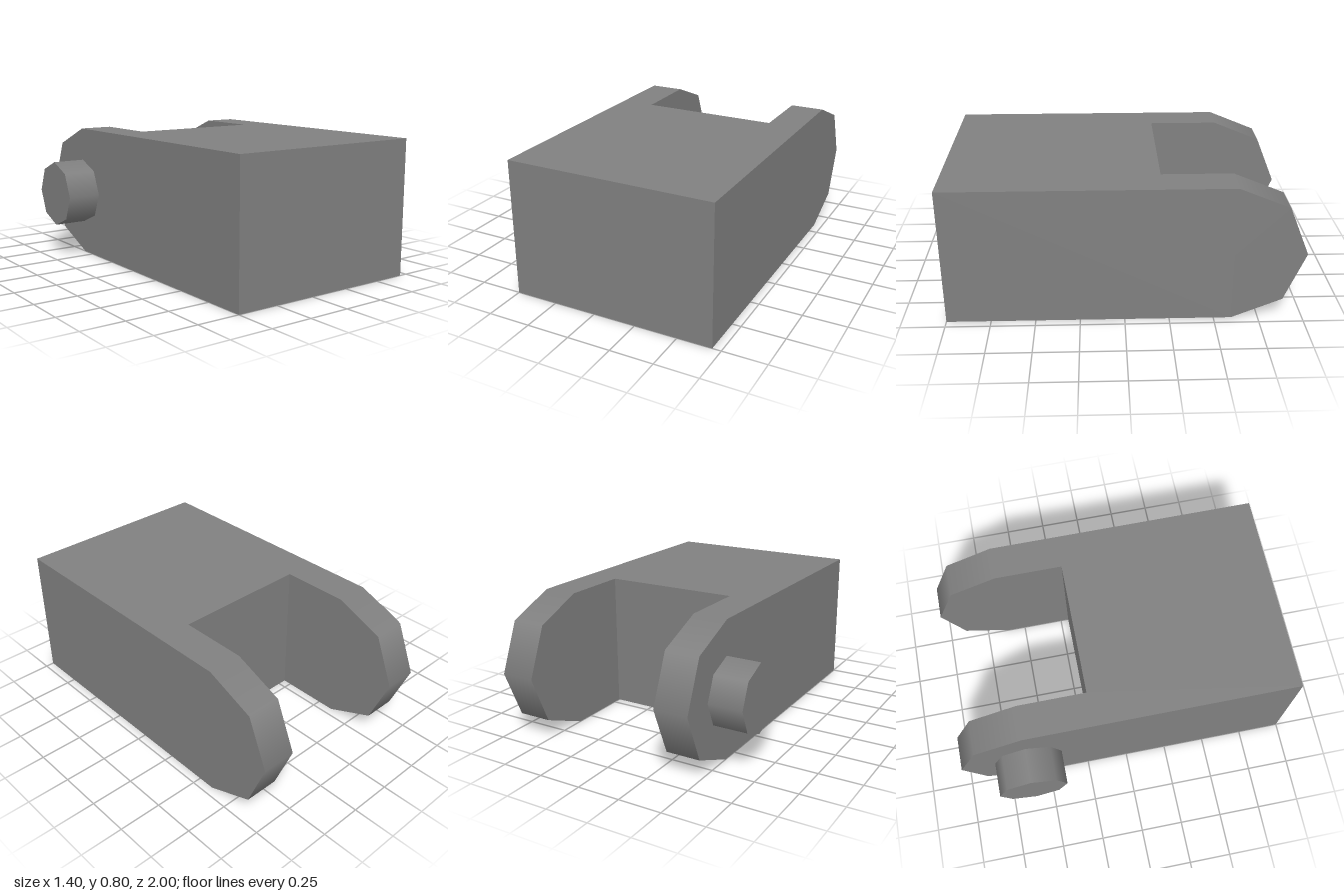
import * as THREE from 'three';

export function createModel() {
  const group = new THREE.Group();
  const grey = new THREE.MeshStandardMaterial({ color: 0x808080 });
  grey.name = 'grey';

  const add = (name, geometry, x, y, z) => {
    const mesh = new THREE.Mesh(geometry, grey);
    mesh.name = name;
    mesh.position.set(x, y, z);
    group.add(mesh);
  };

  // Block with two arms: fork outline in x and z, extruded through the height
  const outline = [
    [-0.5, 1], [-0.5, -0.6], [-0.3, -0.6], [-0.3, -0.2],
    [0.5, -0.2], [0.5, -0.6], [0.7, -0.6], [0.7, 1],
  ].map(([x, z]) => new THREE.Vector2(x, z));
  const body = new THREE.ExtrudeGeometry(new THREE.Shape(outline), { depth: 0.8, bevelEnabled: false });
  body.rotateX(Math.PI / 2);
  add('forkBody', body, 0, 0.8, 0);

  // Rounded arm ends: half cylinders lying along x
  for (const [name, x] of [['rightArmEnd', -0.4], ['leftArmEnd', 0.6]]) {
    const end = new THREE.CylinderGeometry(0.4, 0.4, 0.2, 4, 1, false, Math.PI / 2, Math.PI);
    end.rotateZ(Math.PI / 2);
    add(name, end, x, 0.4, -0.6);
  }

  // Hinge peg on the outside of the right arm
  const peg = new THREE.CylinderGeometry(0.2, 0.2, 0.2, 8);
  peg.rotateZ(Math.PI / 2);
  add('hingePeg', peg, -0.6, 0.4, -0.6);

  return group;
}
